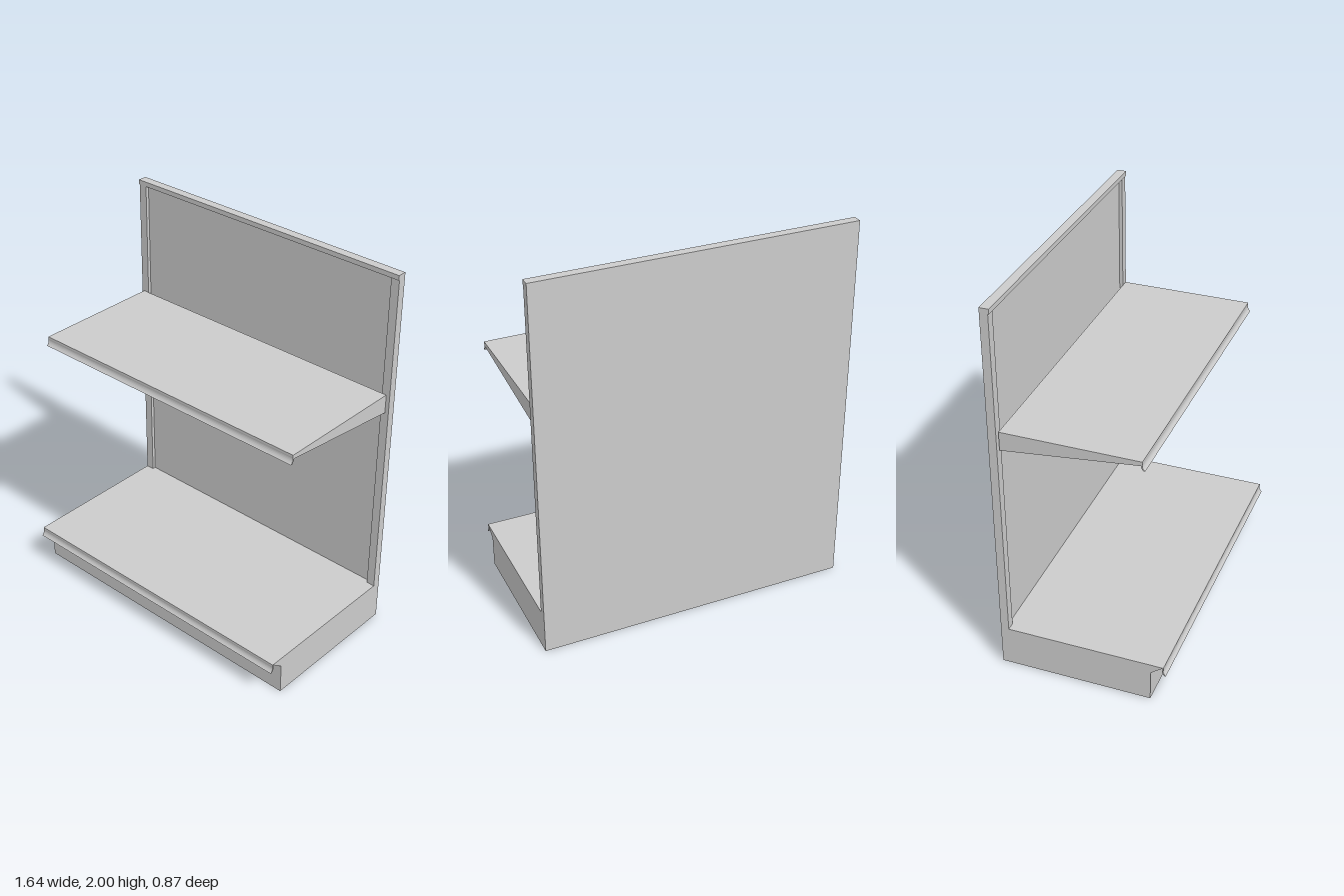
import * as THREE from 'three';

const material = new THREE.MeshStandardMaterial({ color: 0xcccccc, flatShading: true });

function box(name, x0, x1, y0, y1, z0, z1) {
  const mesh = new THREE.Mesh(new THREE.BoxGeometry(x1 - x0, y1 - y0, z1 - z0), material);
  mesh.position.set((x0 + x1) / 2, (y0 + y1) / 2, (z0 + z1) / 2);
  mesh.name = name;
  return mesh;
}

// Extrudes a side profile of [z, y] points across the width from x0 to x1
function sideProfile(name, points, x0, x1) {
  const shape = new THREE.Shape(points.map(([z, y]) => new THREE.Vector2(-z, y)));
  const geometry = new THREE.ExtrudeGeometry(shape, { depth: x1 - x0, bevelEnabled: false });
  geometry.rotateY(Math.PI / 2);
  geometry.translate(x0, 0, 0);
  const mesh = new THREE.Mesh(geometry, material);
  mesh.name = name;
  return mesh;
}

// Thin label strip: drops from the shelf edge, then curves forward
function labelStrip(name, z, y, halfWidth) {
  const curve = new THREE.QuadraticBezierCurve(
    new THREE.Vector2(z, y - 0.012),
    new THREE.Vector2(z - 0.004, y - 0.032),
    new THREE.Vector2(z + 0.013, y - 0.047)
  );
  const outer = [[z, y], ...curve.getPoints(6).map((p) => [p.x, p.y])];
  const inner = outer.map(([pz, py]) => [pz - 0.007, py - 0.001]).reverse();
  inner[inner.length - 1][1] = y;
  return sideProfile(name, [...outer, ...inner], -halfWidth, halfWidth);
}

export function createModel() {
  const model = new THREE.Group();
  model.name = 'displayShelf';
  const W = 0.82, BACK = -0.434, FRONT = -0.392;

  // Back wall: recessed panel, uprights and top rail
  model.add(box('backPanel', -0.775, 0.775, 0, 1.975, BACK, -0.41));
  for (const s of [-1, 1]) {
    const [a, b] = [s * 0.775, s * W].sort((p, q) => p - q);
    model.add(box(s > 0 ? 'leftUpright' : 'rightUpright', a, b, 0, 1.975, BACK, FRONT));
  }
  model.add(box('topRail', -W, W, 1.975, 2, BACK, -0.387));

  // Base plinth with chamfered front and overhanging deck
  const base = new THREE.Group();
  base.name = 'base';
  base.add(sideProfile('plinth', [
    [FRONT, 0], [FRONT, 0.215], [0.415, 0.215], [0.415, 0.211], [0.355, 0.165], [0.355, 0],
  ], -W, W));
  base.add(box('plinthBack', -W, W, 0, 0.215, BACK, FRONT));
  base.add(labelStrip('baseLabelStrip', 0.421, 0.215, W));
  model.add(base);

  // Upper shelf: thin deck, tapered side brackets and label strip
  const shelf = new THREE.Group();
  shelf.name = 'upperShelf';
  const TOP = 1.367, S = 0.803;
  shelf.add(box('shelfDeck', -S, S, TOP - 0.01, TOP, -0.387, 0.302));
  for (const s of [-1, 1]) {
    const x0 = s > 0 ? S - 0.01 : -S;
    shelf.add(sideProfile(s > 0 ? 'leftBracket' : 'rightBracket', [
      [-0.387, 1.268], [-0.387, TOP], [0.302, TOP], [0.302, 1.345],
    ], x0, x0 + 0.01));
  }
  shelf.add(labelStrip('shelfLabelStrip', 0.307, TOP, S));
  model.add(shelf);

  return model;
}
